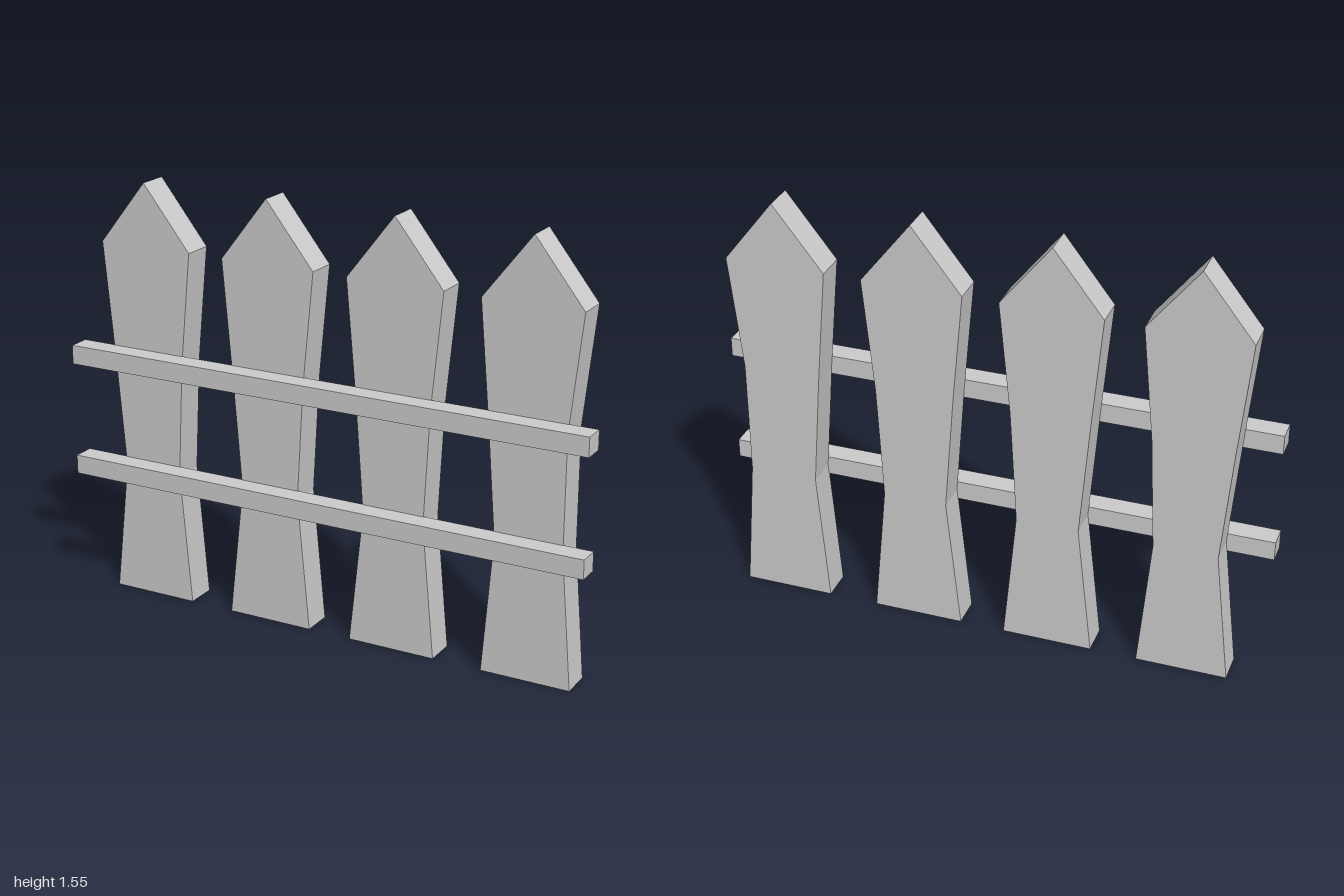
import * as THREE from 'three';

const BACK = -0.097, PICKET_FRONT = 0.019, RAIL_BACK = 0.016, FRONT = 0.097;

// Heights shared by every picket: base, waist, mid, shoulder, then the tip
const LEVELS = [0, 0.49, 0.91, 1.325];
const TIP = 1.555;

// Hand-cut outlines: edge x at each level on both sides, and the tip x
const PICKETS = [
  { low: [-0.887, -0.831, -0.866, -0.905], high: [-0.56, -0.603, -0.582, -0.542], tip: -0.723 },
  { low: [-0.392, -0.337, -0.371, -0.408], high: [-0.066, -0.112, -0.088, -0.047], tip: -0.229 },
  { low: [0.097, 0.149, 0.118, 0.081], high: [0.426, 0.38, 0.401, 0.442], tip: 0.26 },
  { low: [0.608, 0.646, 0.613, 0.576], high: [0.937, 0.894, 0.894, 0.937], tip: 0.755 },
];

export function createModel() {
  const fence = new THREE.Group();
  fence.name = 'picketFence';
  const wood = new THREE.MeshStandardMaterial({ color: 0xcccccc, flatShading: true });

  // Pointed, waisted boards
  PICKETS.forEach(({ low, high, tip }, i) => {
    const right = high.map((x, k) => new THREE.Vector2(x, LEVELS[k]));
    const left = low.map((x, k) => new THREE.Vector2(x, LEVELS[k])).reverse();
    const outline = new THREE.Shape([...right, new THREE.Vector2(tip, TIP), ...left]);
    const board = new THREE.ExtrudeGeometry(outline, { depth: PICKET_FRONT - BACK, bevelEnabled: false });
    const picket = new THREE.Mesh(board, wood);
    picket.name = `picket${i + 1}`;
    picket.position.z = BACK;
    fence.add(picket);
  });

  // Two rails across the front
  const railGeometry = new THREE.BoxGeometry(2, 0.07, FRONT - RAIL_BACK);
  [['lowerRail', 0.487], ['upperRail', 0.909]].forEach(([name, y]) => {
    const rail = new THREE.Mesh(railGeometry, wood);
    rail.name = name;
    rail.position.set(0, y, (FRONT + RAIL_BACK) / 2);
    fence.add(rail);
  });

  return fence;
}
